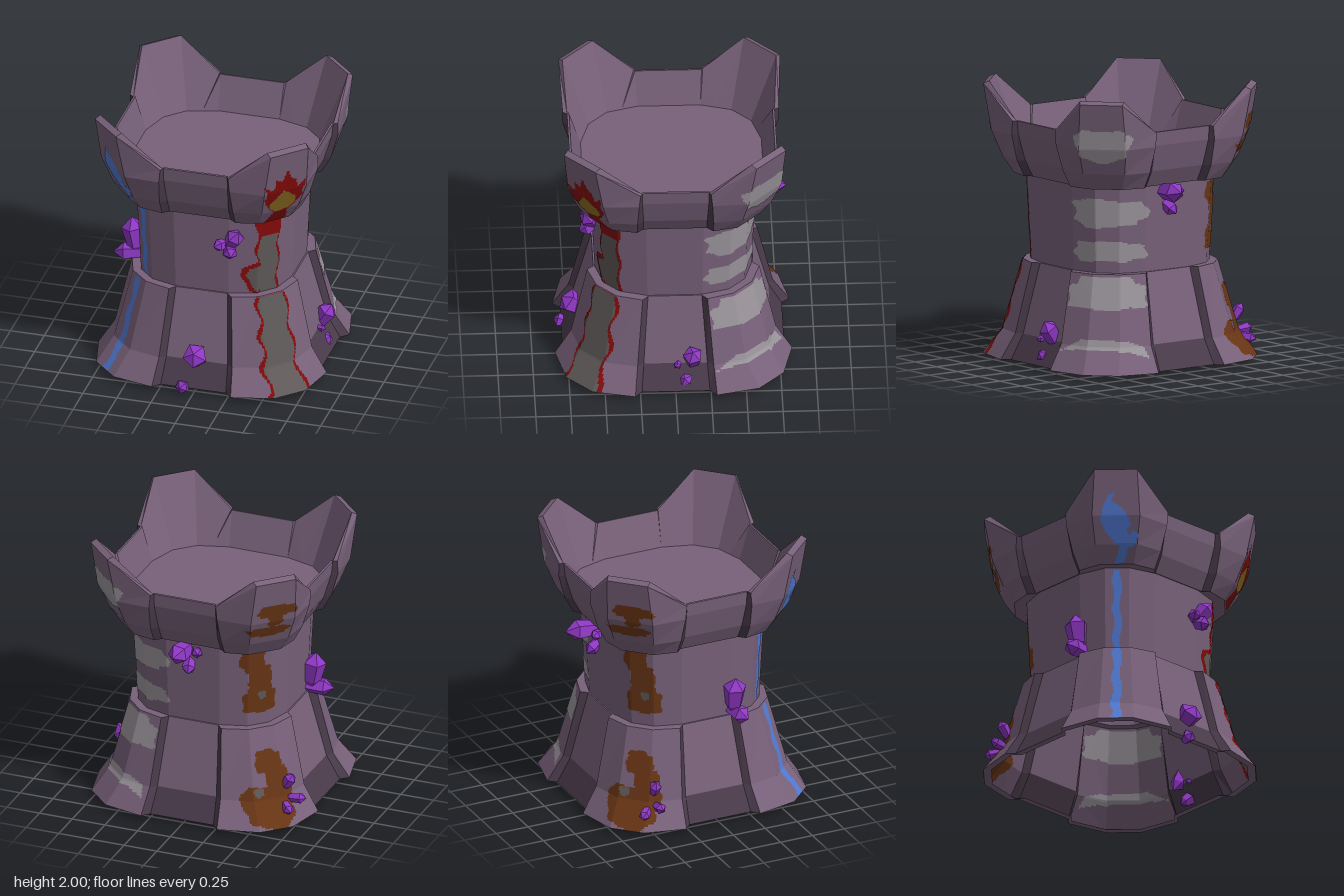
import * as THREE from 'three';

const mat = (name, color, extra = {}) => Object.assign(
  new THREE.MeshStandardMaterial({ color, flatShading: true, ...extra }), { name });
const two = { side: THREE.DoubleSide };
const M = {
  stone: mat('mauve stone', 0x78617a, two),
  dark: mat('dark stone', 0x4a3b4b, two),
  crystal: mat('purple crystal', 0x9038c6),
  blue: mat('water blue', 0x5079d2, two),
  red: mat('ember red', 0x840a0a, two),
  gold: mat('flame gold', 0x8a6a20, two),
  ash: mat('ash grey', 0x5f5959, two),
  dust: mat('dust grey', 0x9a949b, two),
  earth: mat('earth brown', 0x683515, two),
};

// Ring of 24 points: recessed side (half width r, depth d), block end (b, e), corner (c, f)
function ring(y, r, d, b, e, c, f, yc = y) {
  const q = [[r, d, y], [b, e, y], [c, f, yc], [f, c, yc], [e, b, y], [d, r, y]];
  const pts = [];
  for (let k = 0; k < 4; k++) {
    for (const [x, z, h] of q) {
      const [px, pz] = [[x, z], [z, -x], [-x, -z], [-z, x]][k];
      pts.push(new THREE.Vector3(px, h, pz));
    }
  }
  return pts;
}
// Twelve-sided ring with matching point count
const round = (y, s) => ring(y, 0.35 * s, s, 0.52 * s, 0.95 * s, 0.69 * s, 0.9 * s);

function geometryFrom(p) {
  const g = new THREE.BufferGeometry().setFromPoints(p);
  g.computeVertexNormals();
  return g;
}
// Faces between stacked rings; pick(level, segment) chooses which to keep
function loft(rows, pick = () => true) {
  const p = [];
  for (let j = 0; j + 1 < rows.length; j++) {
    const lo = rows[j], up = rows[j + 1], n = lo.length;
    for (let i = 0; i < n; i++) {
      const k = (i + 1) % n;
      if (pick(j, i % 6)) p.push(lo[i], lo[k], up[k], lo[i], up[k], up[i]);
    }
  }
  return geometryFrom(p);
}

// Outer levels of the three tiers
const skirt = [
  ring(0.04, 0.24, 0.785, 0.29, 0.84, 0.59, 0.77),
  ring(0.22, 0.225, 0.69, 0.27, 0.725, 0.5, 0.665),
  ring(0.72, 0.19, 0.565, 0.23, 0.61, 0.415, 0.55),
];
const shaft = [round(0.72, 0.555), round(1.35, 0.585)];
const crown = [
  ring(1.34, 0.225, 0.605, 0.27, 0.645, 0.44, 0.61),
  ring(1.46, 0.225, 0.67, 0.27, 0.71, 0.475, 0.685),
  ring(1.65, 0.235, 0.725, 0.26, 0.765, 0.515, 0.755),
  ring(1.75, 0.235, 0.735, 0.25, 0.765, 0.57, 0.785, 1.98),
];

// Point on a tier at plan angle phi and height y, pushed out by off
function onTier(tier, phi, y, off) {
  const h = l => l[2].y;
  let k = 0;
  while (k < tier.length - 2 && y > h(tier[k + 1])) k++;
  const t = THREE.MathUtils.clamp((y - h(tier[k])) / (h(tier[k + 1]) - h(tier[k])), 0, 1);
  const pts = tier[k].map((p, i) => p.clone().lerp(tier[k + 1][i], t));
  const s = Math.sin(phi), c = Math.cos(phi);
  for (let i = 0; i < pts.length; i++) {
    const p = pts[i], q = pts[(i + 1) % pts.length];
    const sp = p.x * c - p.z * s, sq = q.x * c - q.z * s;
    if (sp <= 0 && sq > 0 && p.x * s + p.z * c > 0) {
      const v = p.clone().lerp(q, -sp / (sq - sp));
      return new THREE.Vector3(v.x + s * off, y, v.z + c * off);
    }
  }
  return new THREE.Vector3(0, y, 0);
}

function inside(poly, a, y) {
  let hit = false;
  poly.forEach(([a1, y1], i) => {
    const [a2, y2] = poly[(i + 1) % poly.length];
    if ((y1 > y) !== (y2 > y) && a < a1 + (a2 - a1) * (y - y1) / (y2 - y1)) hit = !hit;
  });
  return hit;
}
// Painted patch: small cells hugging the tier, filling an outline of [angle, height] around a corner
const DA = 0.8, DY = 0.012;
function patch(tier, corner, poly, off) {
  const as = poly.map(v => v[0]), ys = poly.map(v => v[1]), p = [];
  const a0 = Math.min(...as), a1 = Math.max(...as), y0 = Math.min(...ys), y1 = Math.max(...ys);
  const at = (a, y) => onTier(tier, THREE.MathUtils.degToRad(corner + a), y, off);
  for (let y = y0; y < y1; y += DY) {
    const top = Math.min(y + DY, y1);
    for (let a = a0; a < a1; a += DA) {
      if (!inside(poly, a + DA / 2, (y + top) / 2)) continue;
      const A = at(a, y), B = at(a + DA, y), C = at(a + DA, top), D = at(a, top);
      p.push(A, B, C, A, C, D);
    }
  }
  return geometryFrom(p);
}
// Ragged cloud outline between two heights and two angles
function blob(y0, y1, a, b, seed = 0) {
  const soft = v => Math.sign(v) * Math.pow(Math.abs(v), 0.65);
  return Array.from({ length: 36 }, (_, i) => {
    const t = i * Math.PI / 18;
    const w = 0.9 + 0.07 * Math.sin(3 * t + seed) + 0.07 * Math.sin(7 * t + seed * 2);
    return [(a + b) / 2 + w * soft(Math.cos(t)) * (b - a) / 2,
      (y0 + y1) / 2 + w * soft(Math.sin(t)) * (y1 - y0) / 2];
  });
}
// Wavering stream outline with half width w
function stream(y0, y1, w, wave, seed = 0) {
  const n = Math.ceil((y1 - y0) / 0.04), left = [], right = [];
  for (let i = 0; i <= n; i++) {
    const y = y0 + (y1 - y0) * i / n;
    left.push([-w + wave * Math.sin(seed + i * 1.1), y]);
    right.unshift([w + wave * Math.sin(seed + 1 + i * 0.9), y]);
  }
  return [...left, ...right];
}

export function createModel() {
  const model = new THREE.Group();
  const add = (name, geo, material) => {
    const m = new THREE.Mesh(geo, material);
    m.name = name;
    model.add(m);
    return m;
  };

  // Stone tiers, with dark grooves beside the corner blocks and dark lower panels
  const lip = skirt[0].map(p => new THREE.Vector3(p.x * 0.94, p.y, p.z * 0.94));
  const skirtRows = [lip, ...skirt, shaft[0]];
  const skirtDark = (j, i) => (i % 4 === 0 && (j === 1 || j === 2)) || (i === 5 && j === 1);
  add('skirt', loft(skirtRows, (j, i) => !skirtDark(j, i)), M.stone);
  add('skirtGrooves', loft(skirtRows, skirtDark), M.dark);
  add('shaft', loft(shaft), M.stone);
  const rim = ring(1.752, 0.235, 0.72, 0.245, 0.735, 0.535, 0.757, 2);
  const crownRows = [shaft[1], ...crown, rim, round(1.5, 0.64)];
  const crownDark = (j, i) => i % 4 === 0 && j >= 1 && j <= 3;
  add('crown', loft(crownRows, (j, i) => !crownDark(j, i)), M.stone);
  add('crownGrooves', loft(crownRows, crownDark), M.dark);
  add('crownFloor', loft([round(1.5, 0.64), round(1.5, 0)]), M.stone);

  // Paint on the corners; skirt paint also shows on the inside
  const paint = (name, tier, corner, poly, material, off = 0.004) => {
    add(name, patch(tier, corner, poly, off), material);
    if (tier === skirt) add(name + 'Inside', patch(tier, corner, poly, -off), material);
  };

  // Fire corner; negative angles lie toward the front
  const fire = 45, over = 0.008;
  paint('lavaEdge', skirt, fire, stream(0.045, 0.715, 9.6, 1.7), M.red);
  paint('lavaRock', skirt, fire, stream(0.045, 0.715, 8, 1.3, 0.3), M.ash, over);
  paint('lavaEdge', shaft, fire, stream(0.725, 1.335, 8, 1.4, 1), M.red);
  paint('lavaBulge', shaft, fire, [[-6, 0.72], [-12, 0.73], [-14, 0.8], [-18, 0.86], [-17, 0.92],
    [-12, 0.95], [-6, 0.98]], M.red);
  paint('lavaBulgeRock', shaft, fire, [[-6, 0.73], [-9, 0.74], [-12, 0.82], [-15, 0.87],
    [-12, 0.92], [-6, 0.94]], M.ash, over);
  paint('lavaRock', shaft, fire, stream(0.725, 1.18, 6.5, 1.1, 1.3), M.ash, over);
  paint('lavaNeck', crown, fire, [[-7, 1.345], [6, 1.345], [5, 1.4], [3, 1.46], [-3, 1.46], [-5, 1.4]], M.red);
  paint('flame', crown, fire, [[-2, 1.44], [-6, 1.49], [-9, 1.55], [-10, 1.6], [-9, 1.65], [-11, 1.72],
    [-7, 1.68], [-5, 1.7], [-5, 1.76], [-2, 1.74], [0, 1.84], [2, 1.77], [5, 1.73], [6, 1.67],
    [10, 1.72], [9, 1.62], [10, 1.57], [7, 1.5], [3, 1.44]], M.red);
  paint('flameCore', crown, fire, [[-3, 1.46], [-7, 1.5], [-7, 1.55], [-4, 1.6], [-1, 1.66], [2, 1.63],
    [6, 1.58], [7, 1.52], [4, 1.47]], M.gold, over);

  // Water corner
  const water = -45;
  paint('waterStream', skirt, water, stream(0.045, 0.715, 2.2, 0.8), M.blue);
  paint('waterStream', shaft, water, stream(0.725, 1.335, 2.4, 1, 2), M.blue);
  paint('waterTrail', crown, water, [[-1, 1.345], [4, 1.345], [6, 1.45], [2, 1.45]], M.blue);
  paint('waterDrop', crown, water, [[0, 1.83], [-4, 1.78], [-6, 1.7], [-7, 1.62], [-5, 1.54], [-1, 1.47],
    [4, 1.43], [9, 1.45], [10.5, 1.52], [8, 1.55], [6, 1.51], [5, 1.55], [7, 1.59], [4, 1.68],
    [1, 1.72], [-2, 1.76]], M.blue);

  // Wind corner
  const wind = 135;
  for (const [tier, y0, y1, w, s] of [[crown, 1.55, 1.81, 14, 0], [shaft, 1.04, 1.26, 28, 1],
    [shaft, 0.79, 0.95, 28, 2], [skirt, 0.46, 0.71, 26, 3]]) {
    paint('dustCloud', tier, wind, blob(y0, y1, -w, w, s), M.dust);
  }
  paint('dustArc', skirt, wind, [[-24, 0.18], [-12, 0.2], [0, 0.2], [12, 0.19], [23, 0.14], [20, 0.22],
    [12, 0.26], [0, 0.27], [-12, 0.27], [-18, 0.22]], M.dust);

  // Earth corner
  const earth = -135;
  for (const [tier, y0, y1, a, b, s] of [[crown, 1.52, 1.61, -13, 10, 0], [crown, 1.6, 1.71, -3, 5, 1],
    [crown, 1.69, 1.79, -9, 12, 2], [shaft, 0.8, 1.04, -12, 14, 3], [shaft, 1.0, 1.2, -8, 10, 4],
    [shaft, 1.13, 1.335, -13, 5, 5], [skirt, 0.045, 0.34, -15, 15, 6], [skirt, 0.28, 0.46, -2, 13, 1],
    [skirt, 0.4, 0.57, -7, 10, 2]]) {
    paint('earthStain', tier, earth, blob(y0, y1, a, b, s), M.earth);
  }
  paint('earthPebble', shaft, earth, blob(0.92, 0.99, -1, 5), M.ash, over);
  paint('earthPebble', skirt, earth, blob(0.24, 0.31, -8, -2), M.ash, over);

  // Crystals: base position, direction, length, radius
  const up = new THREE.Vector3(0, 1, 0);
  const crystals = [
    [0, 0.23, 0.67, 0, 0.6, 0.8, 0.14, 0.09], [-0.07, 0.04, 0.75, -0.2, 0.2, 1, 0.09, 0.05],
    [0.2, 1.11, 0.56, 0.5, 0.8, 0.4, 0.19, 0.065], [0.18, 1.12, 0.56, -0.6, 0.1, 0.9, 0.12, 0.045],
    [0.2, 1.1, 0.56, 0.4, -0.3, 1, 0.12, 0.055],
    [-0.59, 0.81, 0.2, -0.15, 1, 0, 0.22, 0.085], [-0.54, 0.76, 0.2, -1, -0.05, 0.2, 0.21, 0.065],
    [-0.66, 0.29, -0.46, -0.5, 0.8, -0.1, 0.12, 0.045], [-0.7, 0.2, -0.46, -1, 0.1, 0, 0.12, 0.04],
    [-0.68, 0.17, -0.52, -0.6, -0.2, -0.6, 0.11, 0.04],
    [0.67, 0.22, -0.12, 0.55, 0.85, 0, 0.17, 0.07], [0.7, 0.08, -0.08, 0.7, 0.6, 0.2, 0.09, 0.05],
    [0.68, 0.22, -0.02, 1, 0, 0.2, 0.07, 0.025],
    [0.05, 1.29, -0.56, 0.05, 0.06, -1, 0.25, 0.075], [0.03, 1.2, -0.56, -0.2, -0.5, -0.8, 0.13, 0.05],
    [-0.01, 1.28, -0.56, -0.5, 0.1, -0.8, 0.12, 0.04],
  ];
  crystals.forEach(([x, y, z, dx, dy, dz, len, r], i) => {
    const profile = [[0, -0.4 * len], [r * 0.75, 0], [r, len * 0.65], [0, len]].map(p => new THREE.Vector2(...p));
    const m = add('crystal', new THREE.LatheGeometry(profile, 5, i), M.crystal);
    m.position.set(x, y, z);
    m.quaternion.setFromUnitVectors(up, new THREE.Vector3(dx, dy, dz).normalize());
  });
  return model;
}
